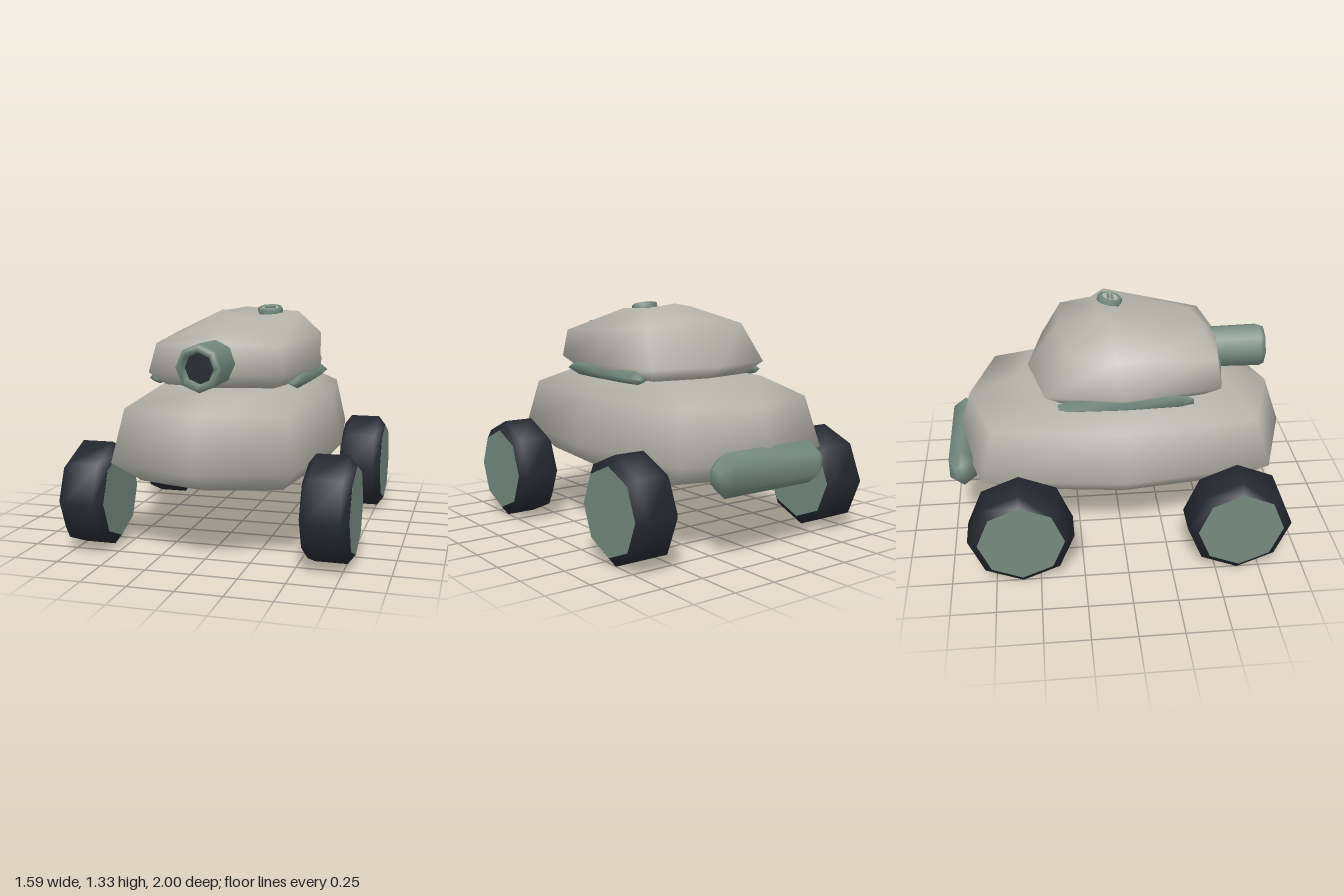
import * as THREE from 'three';

const mat = (color) => new THREE.MeshStandardMaterial({ color, roughness: 0.8 });

// Closed skin over cross-sections, each running counter-clockwise seen from the last section
function loft(rings) {
  const n = rings[0].length, pos = rings.flat(2), index = [];
  for (let r = 0; r < rings.length - 1; r++) {
    for (let i = 0; i < n; i++) {
      const j = (i + 1) % n, a = r * n, b = a + n;
      index.push(a + i, a + j, b + j, a + i, b + j, b + i);
    }
  }
  const cap = (ring, start, flip) => {
    const c = pos.length / 3;
    for (let k = 0; k < 3; k++) pos.push(ring.reduce((s, p) => s + p[k], 0) / n);
    for (let i = 0; i < n; i++) {
      const j = (i + 1) % n;
      index.push(c, start + (flip ? j : i), start + (flip ? i : j));
    }
  };
  cap(rings[0], 0, true);
  cap(rings[rings.length - 1], (rings.length - 1) * n, false);
  const g = new THREE.BufferGeometry();
  g.setAttribute('position', new THREE.Float32BufferAttribute(pos, 3));
  g.setIndex(index);
  g.computeVertexNormals();
  return g;
}

const lathe = (pts) => new THREE.LatheGeometry(pts.map(([r, y]) => new THREE.Vector2(r, y)), 8);

// Mirrored eight-point plan outline: nose, front corner, side, rear corner, tail
const outline = (y, nose, [fx, fz], side, [bx, bz], tail) => [
  [0, y, nose], [fx, y, fz], [side, y, 0], [bx, y, bz],
  [0, y, tail], [-bx, y, bz], [-side, y, 0], [-fx, y, fz],
];

export function createModel() {
  const model = new THREE.Group();
  const body = mat(0xb4b3aa), trim = mat(0x758a7f), dark = mat(0x23272e);
  const add = (name, geometry, material, parent = model) => {
    const m = new THREE.Mesh(geometry, material);
    m.name = name;
    parent.add(m);
    return m;
  };

  // Hull
  add('hull', loft([
    outline(0.385, 0.76, [0.4, 0.64], 0.475, [0.4, -0.62], -0.73),
    outline(0.52, 1.0, [0.5, 0.83], 0.605, [0.5, -0.81], -0.96),
    outline(0.805, 0.9, [0.45, 0.75], 0.548, [0.45, -0.73], -0.87),
    outline(0.905, 0.6, [0.33, 0.5], 0.39, [0.33, -0.49], -0.58),
  ]), body);

  // Turret, its roof leaning to one side and rising to the rear
  add('turret', loft([
    outline(0.905, 0.54, [0.31, 0.47], 0.4, [0.33, -0.35], -0.41),
    outline(0.98, 0.62, [0.385, 0.55], 0.475, [0.4, -0.43], -0.52),
    [[0, 1.14, 0.58], [0.36, 1.14, 0.53], [0.47, 1.175, -0.02], [0.36, 1.2, -0.31],
      [0, 1.23, -0.345], [-0.33, 1.2, -0.31], [-0.385, 1.175, -0.02], [-0.345, 1.14, 0.53]],
    [[0, 1.2, 0.5], [0.22, 1.2, 0.45], [0.33, 1.295, -0.05], [0.22, 1.295, -0.13],
      [0, 1.315, -0.1], [-0.1, 1.295, -0.13], [-0.14, 1.295, -0.05], [-0.2, 1.2, 0.45]],
  ]), body);

  // Barrel with a dark bore
  const barrel = new THREE.Group();
  barrel.name = 'barrel';
  barrel.position.y = 1.045;
  barrel.rotation.x = Math.PI / 2;
  model.add(barrel);
  add('barrelTube', lathe([[0.12, 0.42], [0.128, 0.83], [0.115, 0.86], [0.085, 0.855], [0.082, 0.74]]), trim, barrel);
  const bore = add('bore', new THREE.CylinderGeometry(0.084, 0.084, 0.02, 8), dark, barrel);
  bore.position.y = 0.8;

  // Bars along both sides of the turret base
  const barSection = (z, s, cx) => [[0.065, 0], [0.01, 0.042], [-0.07, -0.01], [0, -0.042]]
    .map(([x, y]) => [cx + x * s, 0.925 + y * s, z]);
  const barGeometry = loft([
    barSection(-0.36, 0.45, 0.41), barSection(-0.3, 0.9, 0.405), barSection(0, 1, 0.41),
    barSection(0.32, 0.9, 0.405), barSection(0.39, 0.45, 0.41),
  ]);
  add('leftTurretBar', barGeometry, trim);
  add('rightTurretBar', barGeometry, trim).scale.x = -1;

  // Rear bumper
  const bumperSection = (x, s) => Array.from({ length: 6 }, (_, i) => {
    const a = Math.PI / 6 + i * Math.PI / 3;
    return [x, 0.48 + 0.12 * s * Math.sin(a), -0.923 - 0.089 * s * Math.cos(a)];
  });
  add('rearBumper', loft([
    bumperSection(-0.365, 0.5), bumperSection(-0.3, 1), bumperSection(0.3, 1), bumperSection(0.365, 0.5),
  ]), trim);

  // Wheels: chamfered tyre and flush hub disc
  const tyre = lathe([[0.24, -0.13], [0.295, -0.088], [0.295, 0.088], [0.24, 0.13]]);
  const hub = new THREE.CylinderGeometry(0.241, 0.241, 0.26, 8);
  for (const [end, z] of [['front', 0.625], ['rear', -0.6]]) {
    for (const [side, x] of [['Left', 0.665], ['Right', -0.665]]) {
      const wheel = new THREE.Group();
      wheel.name = `${end}${side}Wheel`;
      wheel.position.set(x, 0.297, z);
      wheel.rotation.z = -Math.PI / 2;
      add('tyre', tyre, dark, wheel);
      add('hub', hub, trim, wheel);
      model.add(wheel);
    }
  }

  // Roof hatch: raised rim, lid and two handle bars
  const hatch = new THREE.Group();
  hatch.name = 'hatch';
  hatch.position.set(0.165, 1.303, -0.025);
  hatch.rotation.x = 0.2;
  model.add(hatch);
  add('hatchRim', lathe([[0.075, -0.02], [0.075, 0.008], [0.066, 0.016], [0.054, 0.014], [0.05, -0.01]]), trim, hatch);
  add('hatchLid', new THREE.CylinderGeometry(0.053, 0.053, 0.02, 8), body, hatch);
  for (const z of [-0.011, 0.011]) {
    add('hatchHandle', new THREE.BoxGeometry(0.062, 0.012, 0.012), trim, hatch).position.set(0, 0.012, z);
  }
  return model;
}
